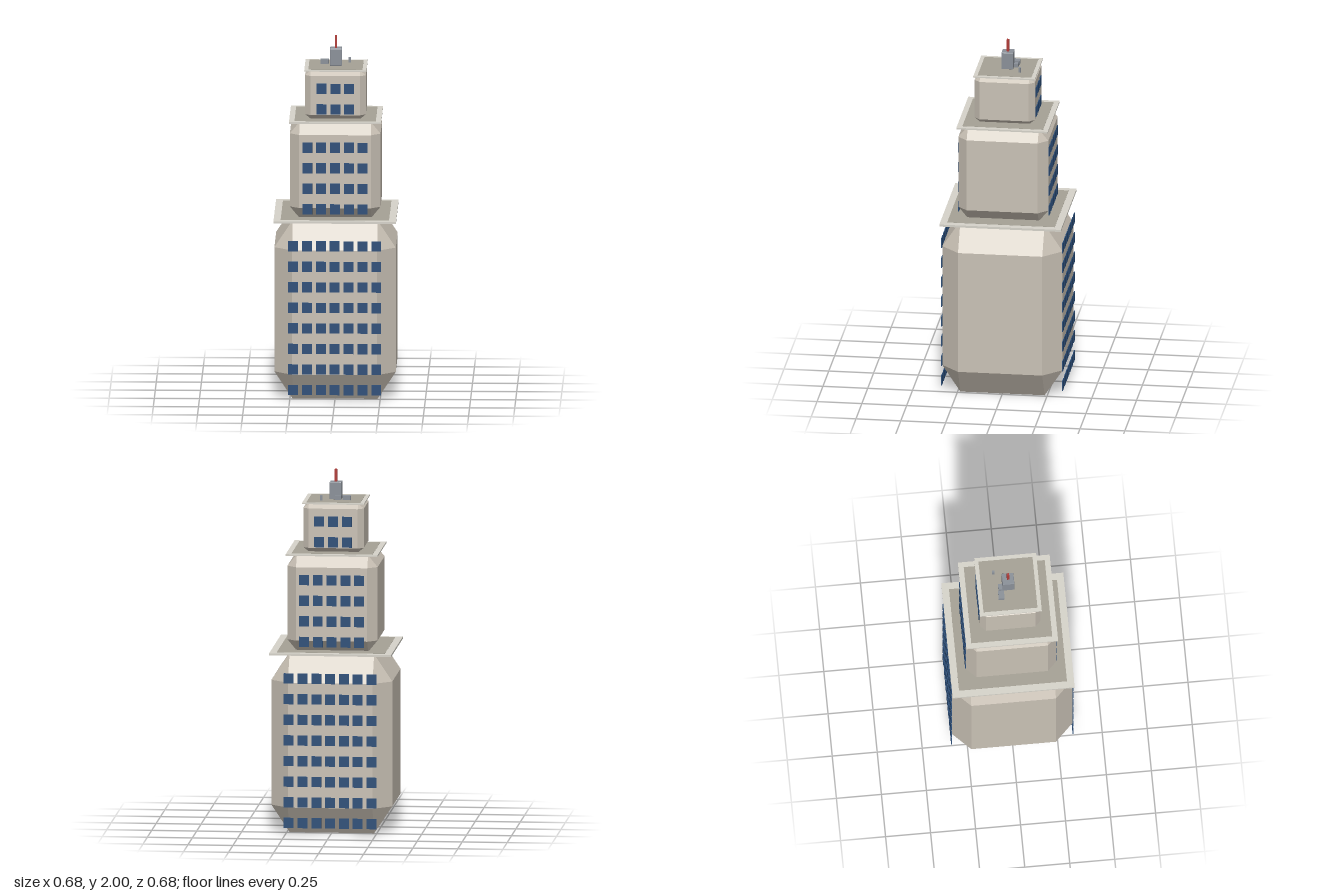
import * as THREE from 'three';
import { ConvexGeometry } from 'three/addons/geometries/ConvexGeometry.js';

const mat = (color) => new THREE.MeshStandardMaterial({ color });
const stone = mat(0xc9c1b5);
const trim = mat(0xd6d3ca);
const roofing = mat(0xa5a195);
const glass = mat(0x2a4d78);
const metal = mat(0x8a9098);
const red = mat(0xb03a36);

function box(parent, name, material, w, h, d, x, y, z) {
  const mesh = new THREE.Mesh(new THREE.BoxGeometry(w, h, d), material);
  mesh.name = name;
  mesh.position.set(x, y, z);
  parent.add(mesh);
  return mesh;
}

// Box with every edge chamfered: half width W, flat half width f, chamfer height c
function chamferedBlock(W, f, y0, y1, c) {
  const points = [];
  for (const sx of [-1, 1]) for (const sz of [-1, 1]) {
    for (const [cap, shoulder] of [[y0, y0 + c], [y1, y1 - c]]) {
      points.push(
        new THREE.Vector3(sx * f, cap, sz * f),
        new THREE.Vector3(sx * W, shoulder, sz * f),
        new THREE.Vector3(sx * f, shoulder, sz * W));
    }
  }
  return new ConvexGeometry(points);
}

// One storey block with its roof slab and front and back windows
function tier(t) {
  const group = new THREE.Group();
  group.name = t.name;

  const body = new THREE.Mesh(chamferedBlock(t.half, t.flat, t.y0, t.y1, t.chamfer), stone);
  body.name = 'wallBlock';
  group.add(body);

  // Overhanging slab with a darker roof surface inside its rim
  const top = t.y1 + t.slab;
  box(group, 'roofSlab', trim, t.rim * 2, t.slab, t.rim * 2, 0, t.y1 + t.slab / 2, 0);
  box(group, 'roofSurface', roofing, t.roof * 2, 0.002, t.roof * 2, 0, top, 0);

  for (const side of [-1, 1]) {
    const windows = new THREE.Group();
    windows.name = side > 0 ? 'frontWindows' : 'backWindows';
    for (let r = 0; r < t.rows; r++) for (let c = 0; c < t.cols; c++) {
      box(windows, 'window', glass, 0.055, 0.057, 0.005,
        (c - (t.cols - 1) / 2) * 0.0767, t.firstRow + r * 0.1155, side * (t.half + 0.0015));
    }
    group.add(windows);
  }
  return group;
}

export function createModel() {
  const model = new THREE.Group();
  model.name = 'steppedTower';

  // Three stepped tiers
  const tiers = [
    { name: 'lowerTier', half: 0.336, flat: 0.235, y0: 0, y1: 1.003, chamfer: 0.152,
      slab: 0.012, rim: 0.339, roof: 0.3, cols: 7, rows: 8, firstRow: 0.067 },
    { name: 'middleTier', half: 0.251, flat: 0.198, y0: 1.01, y1: 1.549, chamfer: 0.064,
      slab: 0.009, rim: 0.255, roof: 0.225, cols: 5, rows: 4, firstRow: 1.068 },
    { name: 'upperTier', half: 0.168, flat: 0.137, y0: 1.557, y1: 1.827, chamfer: 0.025,
      slab: 0.007, rim: 0.172, roof: 0.15, cols: 3, rows: 2, firstRow: 1.615 },
  ];
  for (const t of tiers) model.add(tier(t));

  // Rooftop equipment
  const rooftop = new THREE.Group();
  rooftop.name = 'rooftopEquipment';
  const base = 1.833;
  const shaft = new THREE.Mesh(chamferedBlock(0.033, 0.031, base, 1.931, 0.003), metal);
  shaft.name = 'liftHousing';
  rooftop.add(shaft);
  box(rooftop, 'antenna', red, 0.013, 0.07, 0.013, 0, 1.965, 0);
  box(rooftop, 'largeAirUnit', metal, 0.046, 0.025, 0.033, -0.064, base + 0.0125, -0.043);
  box(rooftop, 'smallAirUnit', metal, 0.033, 0.024, 0.026, -0.016, base + 0.012, -0.043);
  box(rooftop, 'ventPipe', metal, 0.013, 0.03, 0.013, 0.074, base + 0.015, -0.075);
  model.add(rooftop);

  return model;
}
